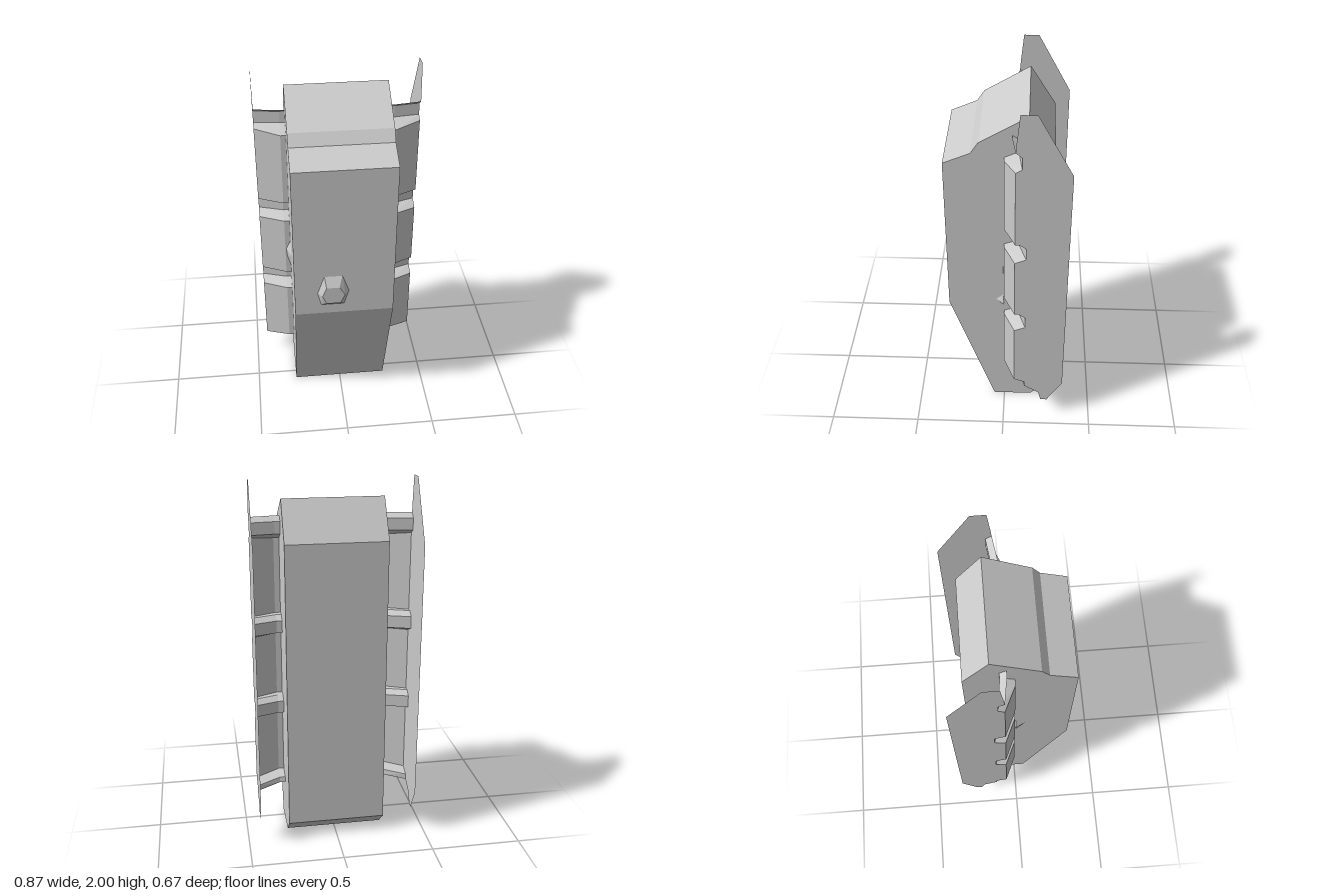
import * as THREE from 'three';
import { ConvexGeometry } from 'three/addons/geometries/ConvexGeometry.js';

const material = new THREE.MeshStandardMaterial({ color: 0xcccccc, flatShading: true });
const sheetMaterial = new THREE.MeshStandardMaterial({
  color: 0xcccccc, flatShading: true, side: THREE.DoubleSide,
});

// Shape drawn from [z, y] pairs
const sideShape = (pts) => new THREE.Shape(pts.map(([z, y]) => new THREE.Vector2(z, y)));

function part(name, geometry, mat = material) {
  const mesh = new THREE.Mesh(geometry, mat);
  mesh.name = name;
  return mesh;
}

const hull = (pts) => new ConvexGeometry(pts.map((p) => new THREE.Vector3(...p)));

// Open sheet joining cross-sections, each a list of [x, y, z]
function sheet(sections) {
  const n = sections[0].length;
  const index = [];
  for (let i = 0; i < sections.length - 1; i++) {
    for (let j = 0; j < n - 1; j++) {
      const a = i * n + j, b = a + n;
      index.push(a, b, b + 1, a, b + 1, a + 1);
    }
  }
  const g = new THREE.BufferGeometry();
  g.setAttribute('position', new THREE.Float32BufferAttribute(sections.flat(2), 3));
  g.setIndex(index);
  const flat = g.toNonIndexed();
  flat.computeVertexNormals();
  return flat;
}

// Notched bracket profile: [inner y, inner z, outer y, outer z]
const bracketProfile = [
  [0.26, -0.075, 0.24, -0.12], [0.29, -0.07, 0.272, -0.12], [0.31, 0, 0.295, -0.06],
];
for (const y of [0.675, 1.145]) {
  bracketProfile.push(
    [y, 0, y, -0.06], [y + 0.025, -0.075, y + 0.025, -0.118],
    [y + 0.093, -0.075, y + 0.093, -0.118], [y + 0.118, -0.04, y + 0.118, -0.085],
    [y + 0.118, 0, y + 0.118, -0.06],
  );
}
bracketProfile.push(
  [1.675, 0, 1.69, -0.06], [1.71, -0.075, 1.71, -0.092],
  [1.775, -0.075, 1.775, -0.092], [1.8, -0.04, 1.8, -0.06],
);

// Side plate outline, front edge notched to follow the bracket
const plateOutline = [
  [-0.08, 2], [-0.16, 2], [-0.335, 1.68], [-0.335, 0.27], [-0.25, 0.13], [-0.215, 0.13],
  [-0.2, 0.19], ...bracketProfile.map(([, , y, z]) => [z, y]), [-0.065, 1.86],
];

function sideWing(s) {
  const wing = new THREE.Group();
  wing.name = s > 0 ? 'leftWing' : 'rightWing';
  const inner = (x) => bracketProfile.map(([y, z]) => [s * x, y, z]);
  const outer = bracketProfile.map(([, , y, z]) => [s * 0.433, y, z]);
  wing.add(part('bracket', sheet([inner(0.26), inner(0.3), outer]), sheetMaterial));
  const plate = new THREE.ShapeGeometry(sideShape(plateOutline));
  plate.rotateY(-Math.PI / 2).translate(s * 0.433, 0, 0);
  wing.add(part('sidePlate', plate, sheetMaterial));
  return wing;
}

export function createModel() {
  const group = new THREE.Group();
  group.name = 'model';

  // Main body with chamfered ends
  const body = new THREE.ExtrudeGeometry(sideShape([
    [0.06, 0], [0.305, 0.73], [0.305, 1.635], [0.165, 1.695], [0.125, 1.755],
    [-0.12, 1.9], [-0.253, 1.69], [-0.253, 0.09], [-0.155, 0],
  ]), { depth: 0.54, bevelEnabled: false });
  body.translate(0, 0, -0.27).rotateY(-Math.PI / 2);
  group.add(part('body', body));

  // Bracket and plate on each side
  for (const s of [1, -1]) group.add(sideWing(s));

  // Faceted stud on the front
  const base = [[-0.11, 0.99], [-0.01, 0.99], [0.028, 0.88], [0, 0.785], [-0.13, 0.785], [-0.15, 0.87]];
  const cap = [[-0.1, 0.925], [-0.03, 0.925], [0, 0.875], [-0.025, 0.82], [-0.1, 0.82], [-0.122, 0.87]];
  group.add(part('frontStud', hull([
    ...base.map(([x, y]) => [x, y, 0.3]), ...cap.map(([x, y]) => [x, y, 0.335]),
  ])));

  // Small shards on the flanks
  group.add(part('rightShard', hull([
    [-0.265, 1.03, 0.01], [-0.295, 0.96, 0.005], [-0.29, 0.91, 0.005],
    [-0.265, 0.82, 0.01], [-0.265, 0.95, 0.07], [-0.265, 0.95, -0.005],
  ])));
  group.add(part('leftShard', hull([
    [0.265, 0.8, 0.01], [0.29, 0.745, 0.0], [0.285, 0.73, 0.005],
    [0.265, 0.76, 0.055], [0.265, 0.73, 0.0],
  ])));
  group.add(part('leftSliver', hull([
    [0.265, 1.04, 0.005], [0.274, 0.98, 0.003], [0.265, 0.8, 0.003], [0.265, 0.95, 0.012],
  ])));

  return group;
}
